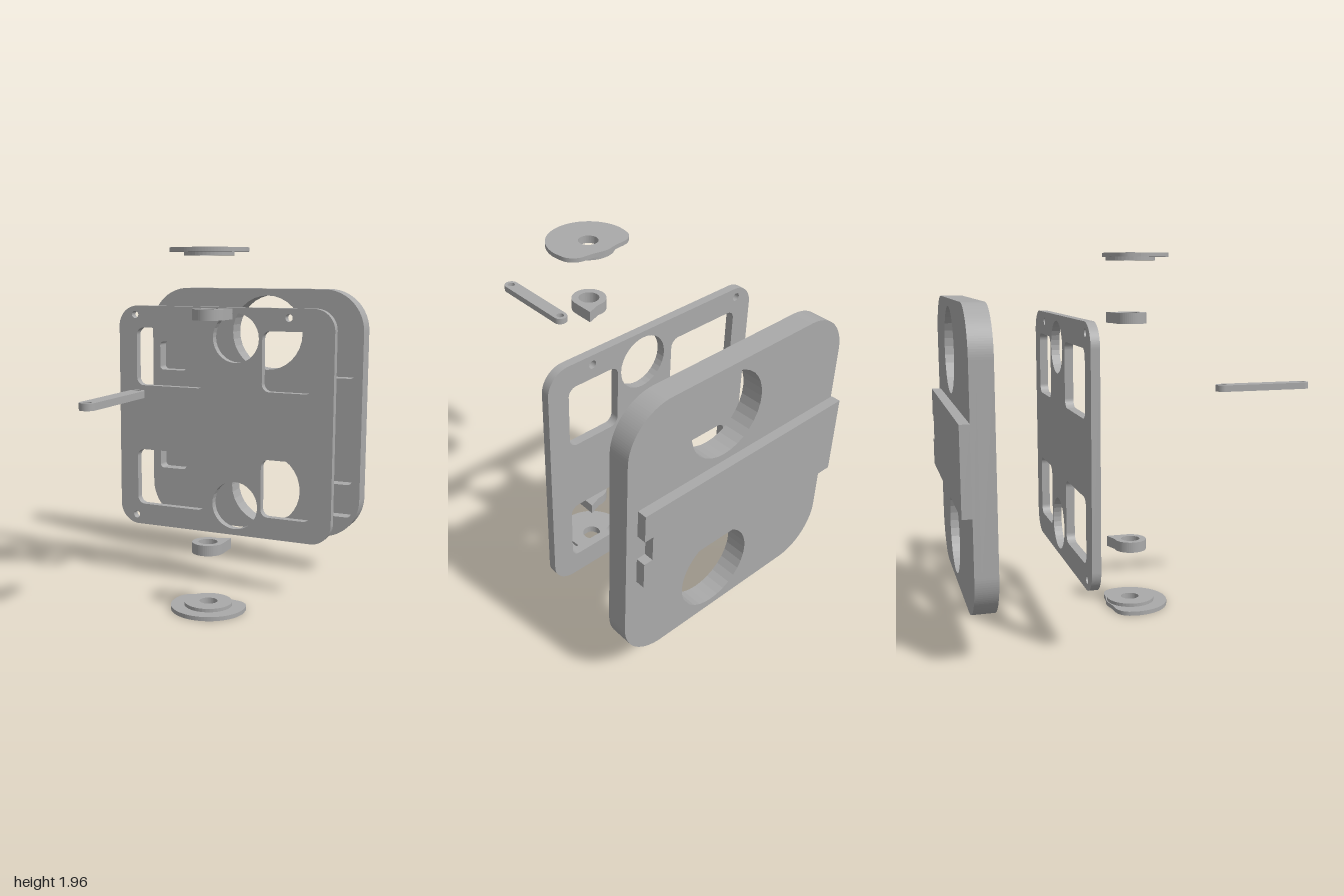
import * as THREE from 'three';

const grey = new THREE.MeshStandardMaterial({ color: 0xaaaaaa });
grey.name = 'plain grey';

// Rounded rectangle from its limits, usable as an outline or a hole
function roundRect(x0, x1, y0, y1, r) {
  const s = new THREE.Shape();
  s.absarc(x1 - r, y1 - r, r, 0, Math.PI / 2);
  s.absarc(x0 + r, y1 - r, r, Math.PI / 2, Math.PI);
  s.absarc(x0 + r, y0 + r, r, Math.PI, Math.PI * 1.5);
  s.absarc(x1 - r, y0 + r, r, Math.PI * 1.5, Math.PI * 2);
  s.closePath();
  return s;
}

function circle(x, y, r) {
  return new THREE.Shape().absarc(x, y, r, 0, Math.PI * 2);
}

function addMesh(parent, name, geometry) {
  const mesh = new THREE.Mesh(geometry, grey);
  mesh.name = name;
  parent.add(mesh);
  return mesh;
}

// Upright part: outline in x, y and thickness from z0 to z1
function upright(parent, name, outline, holes, z0, z1) {
  outline.holes = holes;
  const g = new THREE.ExtrudeGeometry(outline, { depth: z1 - z0, bevelEnabled: false, curveSegments: 16 });
  return addMesh(parent, name, g.translate(0, 0, z0));
}

// Lying part: outline in x, -z and thickness from y0 to y1
function lying(parent, name, outline, holes, y0, y1) {
  outline.holes = holes;
  const g = new THREE.ExtrudeGeometry(outline, { depth: y1 - y0, bevelEnabled: false, curveSegments: 20 });
  return addMesh(parent, name, g.rotateX(-Math.PI / 2).translate(0, y0, 0));
}

// Half-round cam with a flattened, slightly waved rear edge
function camOutline() {
  const s = new THREE.Shape();
  s.absarc(0.09, -0.02, 0.208, Math.PI, Math.PI * 2);
  s.splineThru([
    [0.285, 0.05], [0.24, 0.092], [0.16, 0.103], [0.09, 0.115],
    [0.02, 0.103], [-0.06, 0.092], [-0.105, 0.05], [-0.118, -0.02],
  ].map(([x, y]) => new THREE.Vector2(x, y)));
  return s;
}

// Round collar with one pointed corner
function collarOutline() {
  const s = new THREE.Shape();
  s.moveTo(0.175, 0.09);
  s.lineTo(0.1, 0.064);
  s.absarc(0.0875, -0.0225, 0.0875, Math.PI * 0.46, Math.PI * 2);
  s.closePath();
  return s;
}

export function createModel() {
  const model = new THREE.Group();
  model.name = 'explodedAssembly';

  // Housing: closed rear layer, front layer with pockets, rail on the back
  const housing = new THREE.Group();
  housing.name = 'housing';
  model.add(housing);
  const bores = () => [0.5, 1.465].map((y) => circle(0.09, y, 0.225));
  const block = () => roundRect(-0.69, 0.69, 0.235, 1.73, 0.245);
  const pockets = [
    [-0.64, -0.455, 1.21, 1.39], [-0.64, -0.455, 0.57, 0.75],
    [0.46, 0.64, 1.21, 1.39], [0.46, 0.64, 0.57, 0.75], [0.46, 0.64, 0.37, 0.53],
    [-0.03, 0.51, 0.8, 1.15], [-0.585, -0.48, 0.91, 1.05],
  ].map((p) => roundRect(...p, 0.025));
  upright(housing, 'housingBack', block(), bores(), -0.95, -0.915);
  upright(housing, 'housingFront', block(), [...bores(), ...pockets], -0.915, -0.835);

  const rail = new THREE.Shape([
    [-0.697, 0.765], [0.625, 0.765], [0.625, 0.91], [0.575, 0.91],
    [0.575, 1.05], [0.625, 1.05], [0.625, 1.2], [-0.697, 1.2],
  ].map(([x, y]) => new THREE.Vector2(x, y)));
  upright(housing, 'backRail', rail, [], -1, -0.95);

  // Cover plate with windows, round openings and screw holes
  const openings = [0.5, 1.465].map((y) => circle(0.09, y, 0.14));
  for (const [y0, y1] of [[0.45, 0.785], [1.17, 1.51]]) {
    openings.push(roundRect(-0.54, -0.1, y0, y1, 0.045), roundRect(0.25, 0.55, y0, y1, 0.045));
  }
  for (const [x, y] of [[-0.55, 1.585], [0.405, 1.585], [-0.55, 0.38]]) {
    openings.push(circle(x, y, 0.021));
  }
  upright(model, 'coverPlate', roundRect(-0.655, 0.668, 0.325, 1.637, 0.12), openings, -0.385, -0.34);

  // Cams with bosses on their inner side
  const axle = () => [circle(0.09, -0.02, 0.05)];
  const boss = () => circle(0.09, -0.023, 0.132);
  lying(model, 'topCam', camOutline(), axle(), 1.938, 1.96);
  lying(model, 'topBoss', boss(), axle(), 1.92, 1.938);
  lying(model, 'bottomCam', camOutline(), axle(), 0, 0.023);
  lying(model, 'bottomBoss', boss(), axle(), 0.023, 0.042);

  // Collars
  const collarHole = () => [circle(0.0875, -0.0225, 0.052)];
  lying(model, 'topCollar', collarOutline(), collarHole(), 1.585, 1.643);
  lying(model, 'bottomCollar', collarOutline(), collarHole(), 0.322, 0.38);

  // Link bar with a hole at each end
  lying(model, 'linkBar', roundRect(-0.13, -0.05, -1, -0.455, 0.0399),
    [circle(-0.09, -0.495, 0.021), circle(-0.09, -0.96, 0.021)], 1.22, 1.255);

  return model;
}
